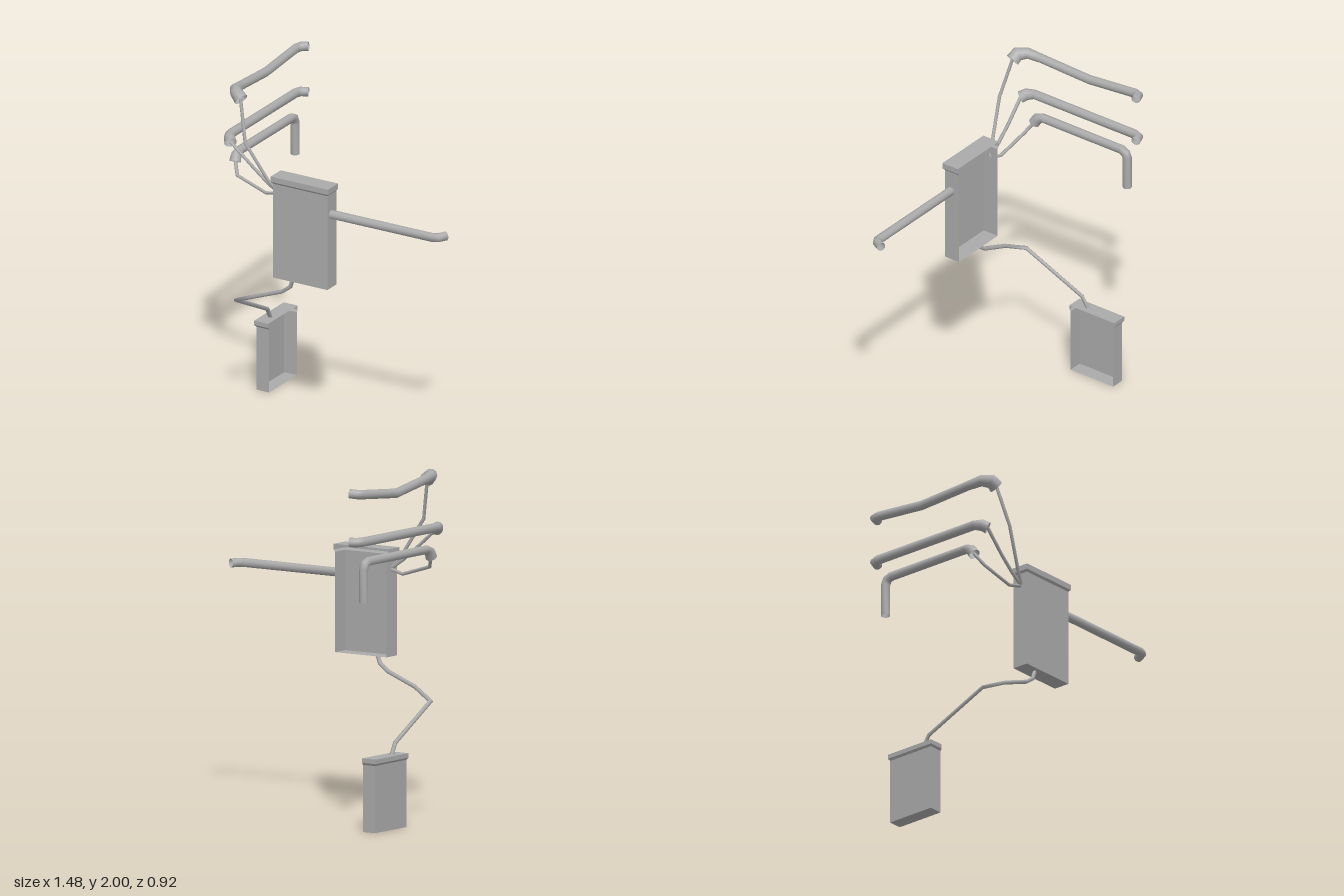
import * as THREE from 'three';

const grey = new THREE.MeshStandardMaterial({ color: 0xaaaaaa, side: THREE.DoubleSide });
grey.name = 'plain grey';

// Open-ended tube with mitred rings along a polyline; radius is one number or a list
function sweep(name, points, radius, sides = 10) {
  const p = points.map(a => new THREE.Vector3(...a));
  const dirs = p.slice(1).map((q, i) => q.clone().sub(p[i]).normalize());
  const pos = [], idx = [];
  let n = new THREE.Vector3(0, 1, 0);
  if (Math.abs(dirs[0].y) > 0.8) n.set(0, 0, 1);
  n.addScaledVector(dirs[0], -n.dot(dirs[0])).normalize();
  p.forEach((c, i) => {
    const a = dirs[Math.max(i - 1, 0)], b = dirs[Math.min(i, dirs.length - 1)];
    const t = a.clone().add(b).normalize();
    const side = new THREE.Vector3().crossVectors(a, n);
    const r = Array.isArray(radius) ? radius[Math.min(i, radius.length - 1)] : radius;
    for (let k = 0; k < sides; k++) {
      const ang = k / sides * Math.PI * 2;
      const o = n.clone().multiplyScalar(Math.cos(ang) * r).addScaledVector(side, Math.sin(ang) * r);
      // slide along the incoming direction onto the mitre plane
      o.addScaledVector(a, -o.dot(t) / a.dot(t)).add(c);
      pos.push(o.x, o.y, o.z);
      if (i < p.length - 1) {
        const u = i * sides + k, v = i * sides + (k + 1) % sides;
        idx.push(u, v, u + sides, v, v + sides, u + sides);
      }
    }
    n = n.clone().applyQuaternion(new THREE.Quaternion().setFromUnitVectors(a, b));
  });
  const g = new THREE.BufferGeometry();
  g.setAttribute('position', new THREE.Float32BufferAttribute(pos, 3));
  g.setIndex(idx);
  g.computeVertexNormals();
  const m = new THREE.Mesh(g, grey);
  m.name = name;
  return m;
}

// Thin-walled case, open at the back (-z), with an overhanging lid
function openCase(name, w, h, d, lip, lidHeight) {
  const rows = [[0, 0], [h - lidHeight - 0.012, 0], [h - lidHeight, lip], [h, lip]].map(([y, o]) => [
    [-w / 2 - o, y, -d / 2], [-w / 2 - o, y, d / 2 + o],
    [w / 2 + o, y, d / 2 + o], [w / 2 + o, y, -d / 2],
  ]);
  const pos = [];
  const quad = (a, b, c, e) => pos.push(...a, ...b, ...c, ...a, ...c, ...e);
  for (let i = 0; i < 3; i++)
    for (let k = 0; k < 3; k++)
      quad(rows[i][k], rows[i][k + 1], rows[i + 1][k + 1], rows[i + 1][k]);
  quad(rows[0][0], rows[0][3], rows[0][2], rows[0][1]);
  quad(...rows[3]);
  const g = new THREE.BufferGeometry();
  g.setAttribute('position', new THREE.Float32BufferAttribute(pos, 3));
  g.computeVertexNormals();
  const m = new THREE.Mesh(g, grey);
  m.name = name;
  return m;
}

export function createModel() {
  const model = new THREE.Group();
  model.name = 'pipesAndCases';

  // Cases
  const large = openCase('largeCase', 0.36, 0.62, 0.1, 0.01, 0.033);
  large.position.set(-0.187, 0.905, 0.38);
  const small = openCase('smallCase', 0.304, 0.423, 0.084, 0.009, 0.026);
  small.position.set(-0.685, 0, -0.131);
  small.rotation.y = -Math.PI / 2;
  model.add(large, small);

  // Pipes
  model.add(
    sweep('sidePipe', [[-0.007, 1.355, 0.388], [0.668, 1.355, 0.388], [0.694, 1.355, 0.374],
      [0.718, 1.355, 0.328]], 0.026),
    sweep('lowerPipe', [[-0.69, 1.508, 0.315], [-0.693, 1.54, 0.295], [-0.693, 1.557, 0.26],
      [-0.693, 1.557, -0.305], [-0.693, 1.543, -0.335], [-0.693, 1.515, -0.346],
      [-0.693, 1.323, -0.346]], [0.034, 0.031, 0.026]),
    sweep('middlePipe', [[-0.668, 1.656, 0.398], [-0.692, 1.673, 0.372], [-0.711, 1.678, 0.33],
      [-0.713, 1.678, -0.385], [-0.7, 1.678, -0.418], [-0.658, 1.678, -0.435]],
      [0.035, 0.033, 0.027]),
    sweep('upperPipe', [[-0.597, 1.935, 0.4], [-0.632, 1.963, 0.39], [-0.668, 1.967, 0.345],
      [-0.682, 1.957, 0.26], [-0.713, 1.92, -0.06], [-0.713, 1.95, -0.385],
      [-0.7, 1.953, -0.418], [-0.658, 1.957, -0.435]], [0.042, 0.038, 0.032, 0.027]),
  );

  // Thin cables
  model.add(
    sweep('upperCable', [[-0.365, 1.415, 0.385], [-0.415, 1.48, 0.405], [-0.54, 1.7, 0.45],
      [-0.6, 1.94, 0.402]], 0.01, 6),
    sweep('middleCable', [[-0.365, 1.412, 0.383], [-0.44, 1.462, 0.383], [-0.535, 1.54, 0.386],
      [-0.67, 1.66, 0.396]], 0.01, 6),
    sweep('lowerCable', [[-0.365, 1.405, 0.38], [-0.45, 1.385, 0.37], [-0.65, 1.445, 0.355],
      [-0.69, 1.515, 0.312]], 0.01, 6),
    sweep('linkCable', [[-0.257, 0.905, 0.395], [-0.275, 0.855, 0.395], [-0.33, 0.815, 0.395],
      [-0.52, 0.743, 0.393], [-0.66, 0.677, 0.35], [-0.685, 0.485, -0.03],
      [-0.688, 0.42, -0.068]], 0.012, 6),
  );
  return model;
}
